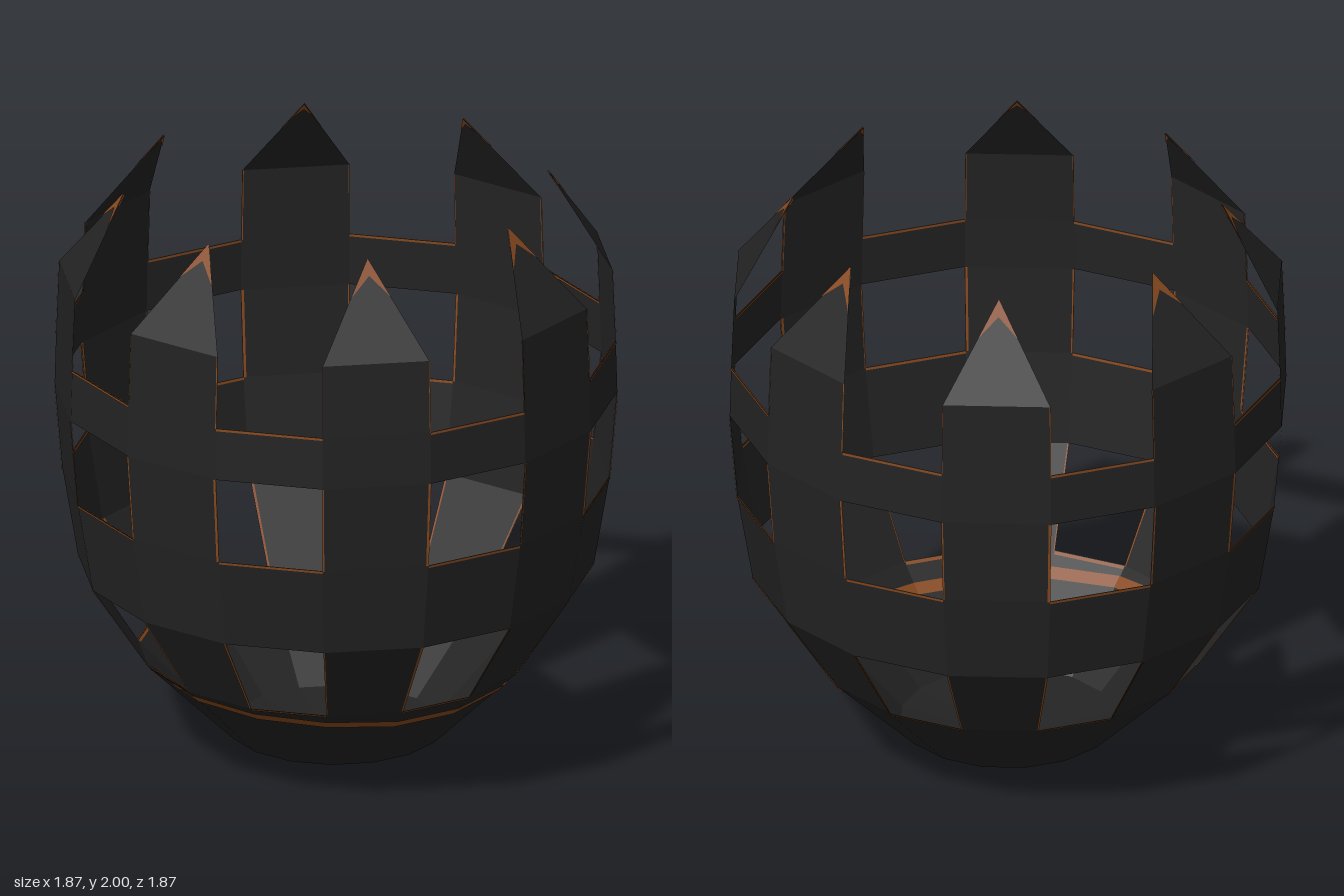
import * as THREE from 'three';

const SIDES = 16;
// wall profile, bottom to top: [radius, height]
const PROFILE = [[0.004, 0], [0.36, 0.07], [0.655, 0.36], [0.853, 0.66], [0.905, 0.97], [0.93, 1.27], [0.925, 1.45], [0.915, 1.7]];

function radiusAt(y) {
  for (let i = 1; i < PROFILE.length; i++) {
    const [r0, y0] = PROFILE[i - 1], [r1, y1] = PROFILE[i];
    if (y <= y1) return r0 + (r1 - r0) * (y - y0) / (y1 - y0);
  }
  return PROFILE[PROFILE.length - 1][0];
}

// point on the faceted wall; u counts sides around from the front, fractions lie on the flat side
function wallPoint(u, y, offset = 0) {
  const k = Math.floor(u), f = u - k, r = radiusAt(y) + offset;
  const corner = (i) => {
    const a = i * Math.PI * 2 / SIDES;
    return new THREE.Vector3(r * Math.sin(a), y, r * Math.cos(a));
  };
  return corner(k).lerp(corner(k + 1), f);
}

// collects flat polygons, given as corner lists, into one mesh
function facetMesh(name, polygons, material) {
  const data = [];
  for (const p of polygons) {
    for (let i = 1; i < p.length - 1; i++) {
      for (const v of [p[0], p[i], p[i + 1]]) data.push(v.x, v.y, v.z);
    }
  }
  const geometry = new THREE.BufferGeometry();
  geometry.setAttribute('position', new THREE.Float32BufferAttribute(data, 3));
  geometry.computeVertexNormals();
  const mesh = new THREE.Mesh(geometry, material);
  mesh.name = name;
  return mesh;
}

const patch = (u0, u1, y0, y1, o = 0) =>
  [wallPoint(u0, y0, o), wallPoint(u1, y0, o), wallPoint(u1, y1, o), wallPoint(u0, y1, o)];

export function createModel() {
  const iron = new THREE.MeshStandardMaterial({ color: 0x232323, side: THREE.DoubleSide, flatShading: true });
  iron.name = 'black iron';
  const rust = new THREE.MeshStandardMaterial({ color: 0x87491f, side: THREE.DoubleSide, flatShading: true });
  rust.name = 'rust';

  const group = new THREE.Group();
  group.name = 'fireBasket';

  // closed bowl
  const bowl = [];
  for (let k = 0; k < SIDES; k++) {
    bowl.push(patch(k, k + 1, 0, 0.07), patch(k, k + 1, 0.07, 0.36));
  }
  group.add(facetMesh('bowl', bowl, iron));

  // upright ribs on odd sides, hoops across the even sides
  const ribs = [], hoops = [], spikes = [], tips = [], edges = [];
  for (let k = 0; k < SIDES; k += 2) {
    for (let i = 2; i < PROFILE.length - 1; i++) {
      ribs.push(patch(k + 1, k + 2, PROFILE[i][1], PROFILE[i + 1][1]));
    }
    hoops.push(patch(k, k + 1, 0.66, 0.97), patch(k, k + 1, 1.27, 1.45));

    // inward-leaning spike above each rib
    const a = (k + 1.5) * Math.PI * 2 / SIDES;
    const left = wallPoint(k + 1, 1.7), right = wallPoint(k + 2, 1.7);
    const tip = new THREE.Vector3(0.705 * Math.sin(a), 2, 0.705 * Math.cos(a));
    spikes.push([left, right, tip]);

    // rusty chevrons on the outside and, smaller, on the inside of each tip
    const middle = left.clone().lerp(right, 0.5);
    const normal = right.clone().sub(left).cross(tip.clone().sub(left)).normalize();
    for (const [side, leg, notch] of [[1, 0.38, 0.17], [-1, 0.2, 0.08]]) {
      const at = (p, f) => tip.clone().lerp(p, f).addScaledVector(normal, side * 0.003);
      tips.push([at(tip, 0), at(left, leg), at(middle, notch)], [at(tip, 0), at(middle, notch), at(right, leg)]);
    }

    // thin rust lines around the openings
    for (const o of [0.003, -0.003]) {
      for (const [y0, y1, w] of [[0.36, 0.66, 0.025], [0.97, 1.27, 0.025], [1.45, 1.7, 0.01]]) {
        edges.push(patch(k - w, k, y0, y1, o), patch(k + 1, k + 1 + w * 0.6, y0, y1, o));
        edges.push(patch(k, k + 1, y0 - 0.008, y0, o));
      }
    }
  }
  group.add(facetMesh('ribs', ribs, iron), facetMesh('hoops', hoops, iron));
  group.add(facetMesh('spikes', spikes, iron), facetMesh('rustyTips', tips, rust));
  group.add(facetMesh('rustyEdges', edges, rust));

  // wavering rust line around part of the bowl, inside and out: [side, height]
  const path = [[-2.1, 0.345], [-1, 0.332], [0, 0.32], [1, 0.308], [2, 0.292], [3, 0.292], [4, 0.305],
    [5, 0.33], [6, 0.34], [7, 0.348]];
  const stain = [];
  for (let i = 0; i < path.length - 1; i++) {
    const [u0, y0] = path[i], [u1, y1] = path[i + 1], h = 0.015;
    // the far end belongs to the same flat side as the near end
    for (const o of [0.005, -0.005]) {
      stain.push([wallPoint(u0, y0 - h, o), wallPoint(u1, y1 - h, o), wallPoint(u1, y1 + h, o), wallPoint(u0, y0 + h, o)]);
    }
  }
  group.add(facetMesh('rustLine', stain, rust));
  return group;
}
